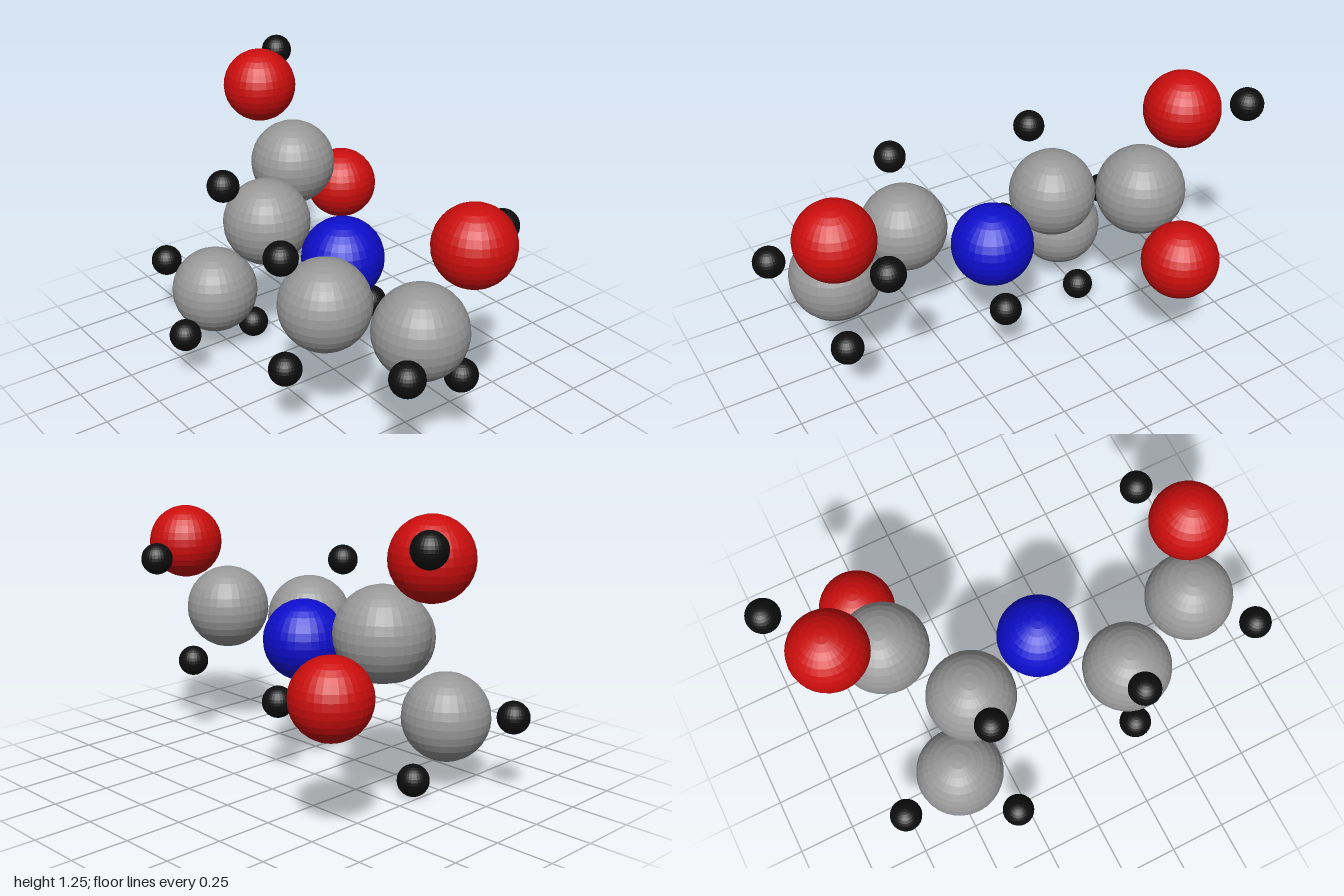
import * as THREE from 'three';

// Radius and colour of each kind of atom
const KINDS = {
  carbon: { radius: 0.191, color: 0x999999 },
  oxygen: { radius: 0.164, color: 0xcc0d0d },
  nitrogen: { radius: 0.177, color: 0x0d0dcc },
  hydrogen: { radius: 0.069, color: 0x0d0d0d },
};

// Atom centres, named by their place in the molecule
const ATOMS = [
  // acid end
  ['acidCarbon', 'carbon', -0.556, 0.777, -0.182],
  ['acidOxygen', 'oxygen', -0.571, 0.586, -0.471],
  ['acidHydroxylOxygen', 'oxygen', -0.767, 1.093, -0.15],
  ['acidHydroxylHydrogen', 'hydrogen', -0.931, 1.175, -0.358],
  // central carbon
  ['centralCarbon', 'carbon', -0.312, 0.659, 0.13],
  ['centralHydrogen', 'hydrogen', -0.317, 0.884, 0.341],
  // methyl group
  ['methylCarbon', 'carbon', -0.472, 0.31, 0.314],
  ['methylHydrogenRight', 'hydrogen', -0.763, 0.357, 0.393],
  ['methylHydrogenFront', 'hydrogen', -0.314, 0.238, 0.566],
  ['methylHydrogenBottom', 'hydrogen', -0.465, 0.073, 0.121],
  // amine
  ['amineNitrogen', 'nitrogen', 0.065, 0.601, 0],
  ['amineHydrogen', 'hydrogen', 0.081, 0.349, -0.14],
  // two-carbon chain
  ['chainInnerCarbon', 'carbon', 0.339, 0.604, 0.296],
  ['chainInnerHydrogenTop', 'hydrogen', 0.301, 0.851, 0.475],
  ['chainInnerHydrogenBottom', 'hydrogen', 0.308, 0.354, 0.47],
  ['chainOuterCarbon', 'carbon', 0.728, 0.613, 0.135],
  ['chainOuterHydrogenBottom', 'hydrogen', 0.775, 0.371, -0.044],
  ['chainOuterHydrogenLeft', 'hydrogen', 0.929, 0.598, 0.367],
  // alcohol end
  ['alcoholOxygen', 'oxygen', 0.788, 0.943, -0.06],
  ['alcoholHydrogen', 'hydrogen', 0.682, 0.908, -0.306],
];

export function createModel() {
  const group = new THREE.Group();
  group.name = 'molecule';

  // One shared faceted sphere and material per kind
  const parts = {};
  for (const [kind, { radius, color }] of Object.entries(KINDS)) {
    parts[kind] = {
      geometry: new THREE.SphereGeometry(radius, 32, 16),
      material: new THREE.MeshStandardMaterial({ color, flatShading: true }),
    };
  }

  for (const [name, kind, x, y, z] of ATOMS) {
    const atom = new THREE.Mesh(parts[kind].geometry, parts[kind].material);
    atom.name = name;
    atom.position.set(x, y, z);
    group.add(atom);
  }
  return group;
}
